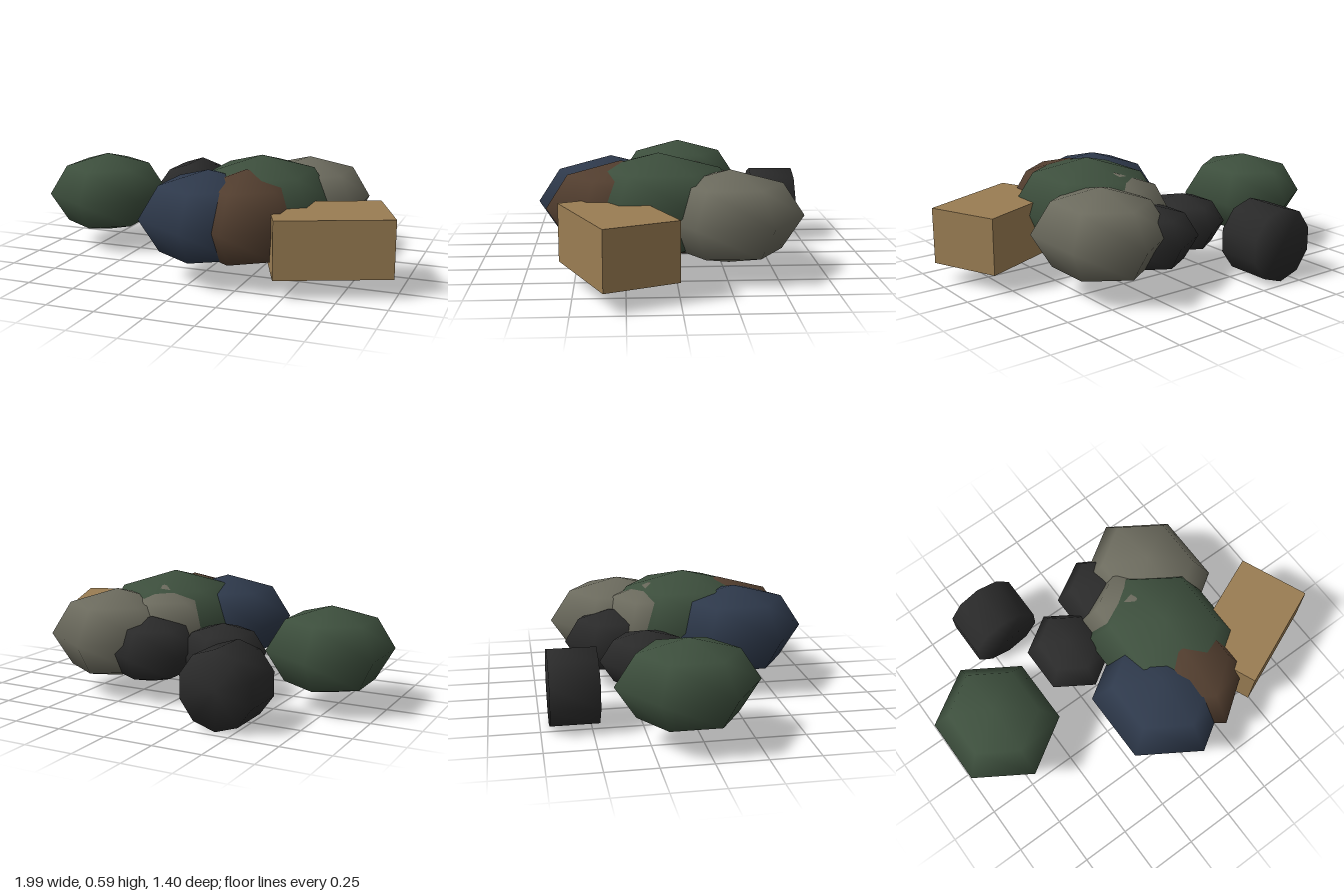
import * as THREE from 'three';
import { mergeVertices } from 'three/addons/utils/BufferGeometryUtils.js';

const material = (name, color) => {
  const m = new THREE.MeshStandardMaterial({ color });
  m.name = name;
  return m;
};

export function createModel() {
  const green = material('dull green', 0x3d4f3d);
  const blue = material('navy blue', 0x2e394b);
  const brown = material('earth brown', 0x523e2f);
  const beige = material('stone grey', 0x6c6b5e);
  const black = material('charcoal', 0x2a2a2a);
  const cardboard = material('cardboard', 0x9a7d53);

  const model = new THREE.Group();
  model.name = 'junkPile';
  const add = (name, geometry, mat, x, y, z) => {
    const mesh = new THREE.Mesh(geometry, mat);
    mesh.name = name;
    mesh.position.set(x, y, z);
    model.add(mesh);
    return mesh;
  };

  // Stuffed bags: six-sided smooth spheres with a corner towards z, squashed.
  // Each row: name, material, centre x y z, half width, half height, half depth
  const bags = [
    ['looseGreenBag', green, -0.725, 0.29, -0.07, 0.275, 0.22, 0.348],
    ['blueBag', blue, 0.04, 0.31, 0.32, 0.30, 0.24, 0.378],
    ['frontBrownBag', brown, 0.225, 0.31, 0.27, 0.267, 0.245, 0.38],
    ['middleGreenBag', green, 0.24, 0.33, 0.08, 0.33, 0.265, 0.44],
    ['backGreyBag', beige, 0.395, 0.30, -0.265, 0.29, 0.235, 0.375],
    ['buriedGreyBag', beige, 0.20, 0.31, -0.11, 0.26, 0.235, 0.28],
    ['buriedBrownBag', brown, 0.25, 0.31, -0.05, 0.26, 0.24, 0.30],
    ['sideBlackBag', black, -0.185, 0.235, -0.185, 0.19, 0.155, 0.243],
    ['backBlackBag', black, 0.145, 0.25, -0.33, 0.215, 0.17, 0.25],
  ];
  for (const [name, mat, x, y, z, w, h, d] of bags) {
    const bag = new THREE.SphereGeometry(1, 6, 4).rotateY(Math.PI / 2);
    bag.scale(w / Math.cos(Math.PI / 6), h, d);
    add(name, bag, mat, x, y, z);
  }

  // Drum lying along z, with normals blended over its rims
  let drum = new THREE.CylinderGeometry(0.195, 0.195, 0.242, 10, 1);
  drum.rotateX(Math.PI / 2);
  drum.deleteAttribute('normal');
  drum.deleteAttribute('uv');
  drum = mergeVertices(drum, 1e-4);
  drum.computeVertexNormals();
  add('blackDrum', drum, black, -0.411, 0.195, -0.585);

  // Tilted cardboard box
  const box = add('cardboardBox', new THREE.BoxGeometry(0.575, 0.29, 0.38), cardboard, 0.655, 0.245, 0.288);
  box.rotation.y = 0.4;

  return model;
}
